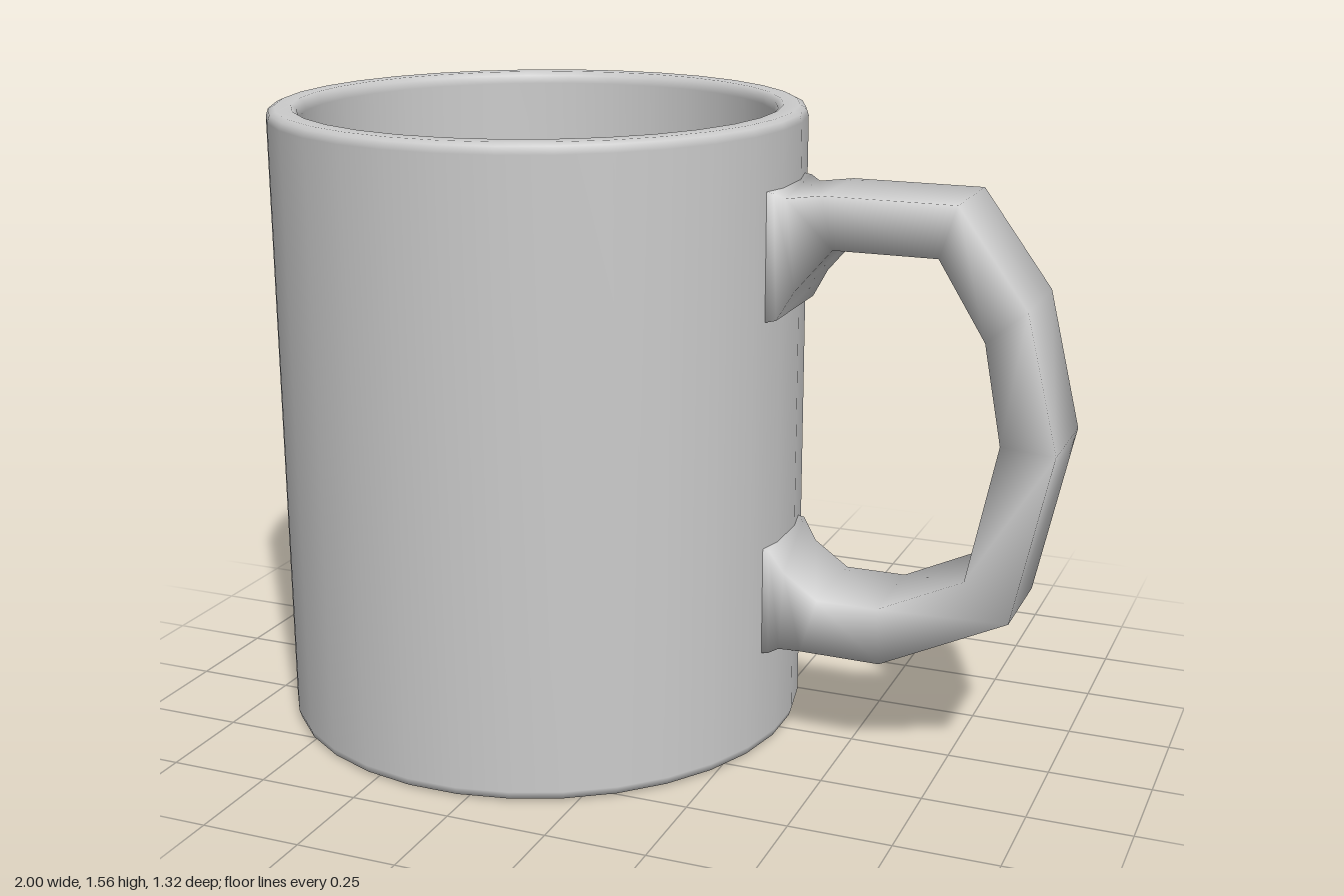
import * as THREE from 'three';

const SEGMENTS = 32;
const CENTRE_X = -0.34;

// Lathed cup: outer wall, rim, inner wall and floor in one profile
function makeCup(material) {
  const profile = [
    [0, 0], [0.64, 0], [0.655, 0.006], [0.661, 0.025],
    [0.661, 1.535], [0.655, 1.553], [0.64, 1.56],
    [0.60, 1.56], [0.587, 1.55], [0.584, 1.53],
    [0.584, 0.10], [0.57, 0.08], [0.29, 0.075], [0, 0.075],
  ].map(([r, y]) => new THREE.Vector2(r, y));
  const half = Math.PI / SEGMENTS;
  const cup = new THREE.Mesh(new THREE.LatheGeometry(profile, SEGMENTS, half), material);
  cup.name = 'cup';
  cup.position.x = CENTRE_X;
  return cup;
}

// Handle: four-cornered sections swept around a coarse arc, smooth shaded
function makeHandle(material) {
  // outer x, outer y, inner x, inner y, half width
  const sections = [
    [0.29, 1.405, 0.29, 1.09, 0.14],
    [0.32, 1.40, 0.33, 1.10, 0.14],
    [0.345, 1.388, 0.37, 1.17, 0.128],
    [0.43, 1.40, 0.46, 1.275, 0.126],
    [0.75, 1.40, 0.71, 1.275, 0.126],
    [0.92, 1.17, 0.825, 1.09, 0.126],
    [1.0, 0.84, 0.87, 0.85, 0.126],
    [0.91, 0.42, 0.80, 0.51, 0.126],
    [0.60, 0.27, 0.59, 0.41, 0.126],
    [0.40, 0.272, 0.44, 0.41, 0.126],
    [0.345, 0.27, 0.355, 0.47, 0.126],
    [0.32, 0.258, 0.32, 0.525, 0.135],
    [0.29, 0.255, 0.29, 0.53, 0.135],
  ];
  const positions = [];
  const indices = [];
  sections.forEach(([ox, oy, ix, iy, w], s) => {
    positions.push(ox, oy, w, ox, oy, -w, ix, iy, -w, ix, iy, w);
    if (s === 0) return;
    for (let k = 0; k < 4; k++) {
      const a = (s - 1) * 4 + k;
      const b = (s - 1) * 4 + ((k + 1) % 4);
      indices.push(a, a + 4, b, b, a + 4, b + 4);
    }
  });
  const geometry = new THREE.BufferGeometry();
  geometry.setAttribute('position', new THREE.Float32BufferAttribute(positions, 3));
  geometry.setIndex(indices);
  geometry.computeVertexNormals();
  const handle = new THREE.Mesh(geometry, material);
  handle.name = 'handle';
  return handle;
}

export function createModel() {
  const material = new THREE.MeshStandardMaterial({ color: 0xcccccc });
  const mug = new THREE.Group();
  mug.name = 'mug';
  mug.add(makeCup(material), makeHandle(material));
  return mug;
}
